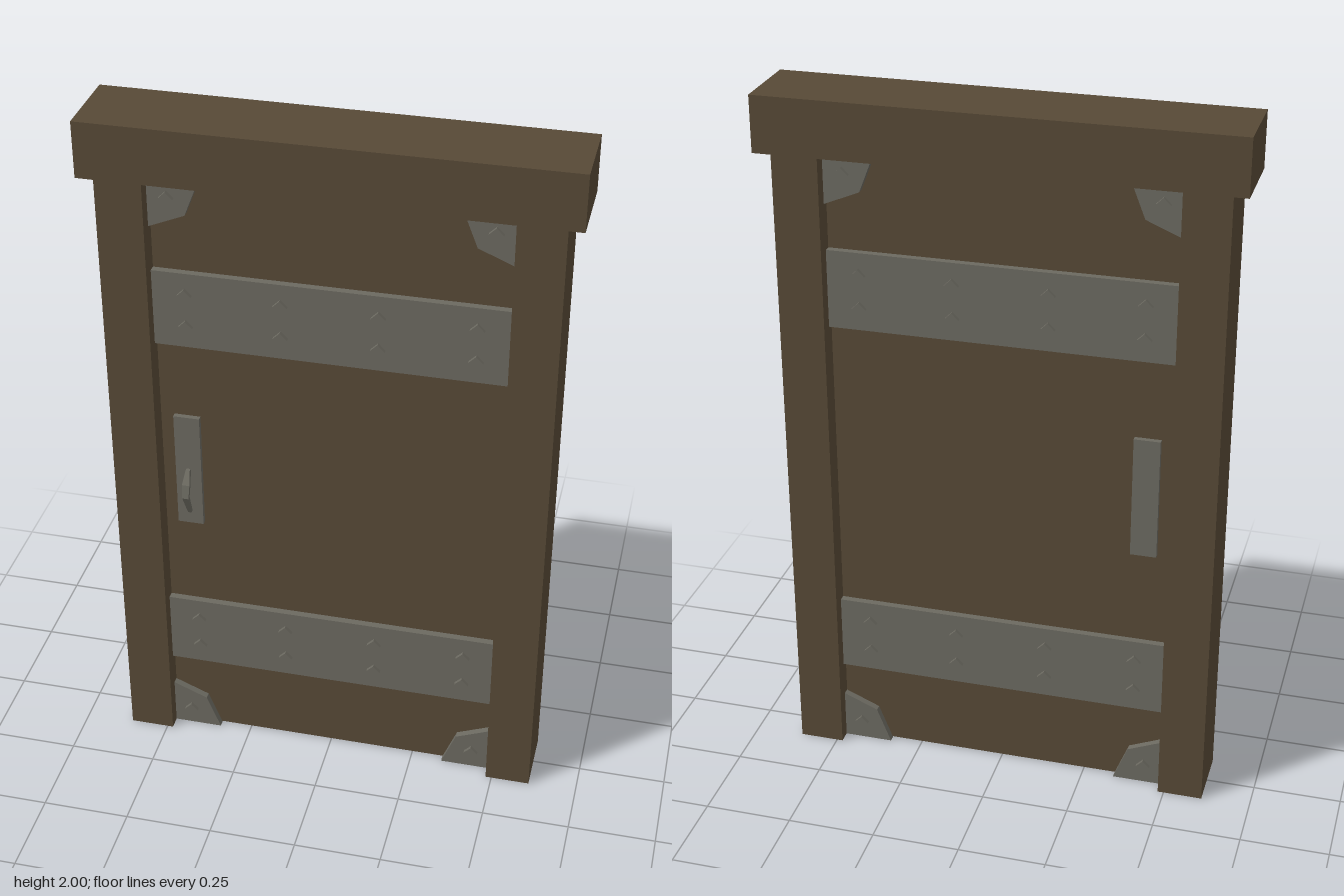
import * as THREE from 'three';

export function createModel() {
  const model = new THREE.Group();
  const wood = new THREE.MeshStandardMaterial({ color: 0x574936 });
  wood.name = 'dark wood';
  const iron = new THREE.MeshStandardMaterial({ color: 0x6b6960 });
  iron.name = 'grey iron';

  const add = (parent, name, geometry, material, x = 0, y = 0, z = 0) => {
    const mesh = new THREE.Mesh(geometry, material);
    mesh.name = name;
    mesh.position.set(x, y, z);
    parent.add(mesh);
    return mesh;
  };
  // Box given by its limits on each axis
  const box = (parent, name, material, [x0, x1], [y0, y1], [z0, z1]) =>
    add(parent, name, new THREE.BoxGeometry(x1 - x0, y1 - y0, z1 - z0), material,
      (x0 + x1) / 2, (y0 + y1) / 2, (z0 + z1) / 2);

  const inner = 0.483, outer = 0.611, beamY = 1.843;
  const panelHalf = 0.037, midZ = 0.003, ironDepth = 0.02;

  // Frame and door leaf
  box(model, 'lintel', wood, [-0.654, 0.654], [beamY, 2], [-0.115, 0.115]);
  box(model, 'leftPost', wood, [inner, outer], [0, beamY], [-0.092, 0.098]);
  box(model, 'rightPost', wood, [-outer, -inner], [0, beamY], [-0.092, 0.098]);
  box(model, 'doorPanel', wood, [-inner, inner], [0.002, beamY], [midZ - panelHalf, midZ + panelHalf]);

  // Square rivet, set as a diamond
  const rivetGeometry = new THREE.CylinderGeometry(0.02, 0.02, 0.014, 4).toNonIndexed();
  rivetGeometry.rotateX(Math.PI / 2);
  rivetGeometry.computeVertexNormals();

  // Corner plate outline, measured from the corner of the door
  const cornerShape = (sx, sy) => {
    const pts = [[0, 0], [0.141, 0], [0.1, 0.104], [0, 0.146]]
      .map(([x, y]) => new THREE.Vector2(sx * x, sy * y));
    return new THREE.Shape(pts);
  };

  // The same ironwork on both faces of the door
  for (const side of [1, -1]) {
    const face = new THREE.Group();
    face.name = side > 0 ? 'frontIronwork' : 'backIronwork';
    face.position.z = midZ + side * panelHalf;
    if (side < 0) face.rotation.y = Math.PI;
    model.add(face);

    // Straps, each with two rows of rivets
    for (const y of [0.362, 1.455]) {
      box(face, 'strap', iron, [-inner, inner], [y - 0.112, y + 0.112], [0, ironDepth]);
      for (const x of [-0.393, -0.132, 0.132, 0.393])
        for (const dy of [-0.048, 0.048])
          add(face, 'strapRivet', rivetGeometry, iron, x, y + dy, ironDepth + 0.004);
    }

    // Corner plates
    for (const sx of [1, -1])
      for (const sy of [1, -1]) {
        const y = sy > 0 ? 0 : beamY;
        const plate = new THREE.ExtrudeGeometry(cornerShape(sx, sy), { depth: ironDepth, bevelEnabled: false });
        add(face, 'cornerPlate', plate, iron, -sx * inner, y, 0);
        add(face, 'cornerRivet', rivetGeometry, iron, -sx * 0.43, y + sy * 0.057, ironDepth + 0.004);
      }

    // Handle plate
    const hx = -0.407 * side;
    box(face, 'handlePlate', iron, [hx - 0.037, hx + 0.037], [0.754, 1.11], [0, 0.015]);
  }

  // Bent pull on the front: tapered square bar swept along cross-sections [y, z, half width]
  const sections = [[0.94, 0, 0.006], [0.905, 0.026, 0.011], [0.865, 0.034, 0.009], [0.795, 0, 0.005]];
  const pos = [], idx = [];
  for (const [y, z, w] of sections)
    pos.push(-w, y, z + 0.006, w, y, z + 0.006, w, y, z - 0.006, -w, y, z - 0.006);
  for (let i = 0; i < sections.length - 1; i++)
    for (let j = 0; j < 4; j++) {
      const a = i * 4 + j, b = i * 4 + (j + 1) % 4;
      idx.push(a, a + 4, b, b, a + 4, b + 4);
    }
  const last = (sections.length - 1) * 4;
  idx.push(0, 1, 2, 0, 2, 3, last, last + 2, last + 1, last, last + 3, last + 2);
  let pull = new THREE.BufferGeometry();
  pull.setAttribute('position', new THREE.Float32BufferAttribute(pos, 3));
  pull.setIndex(idx);
  pull = pull.toNonIndexed();
  pull.computeVertexNormals();
  add(model, 'pullHandle', pull, iron, -0.407, 0, midZ + panelHalf + 0.017);

  return model;
}
